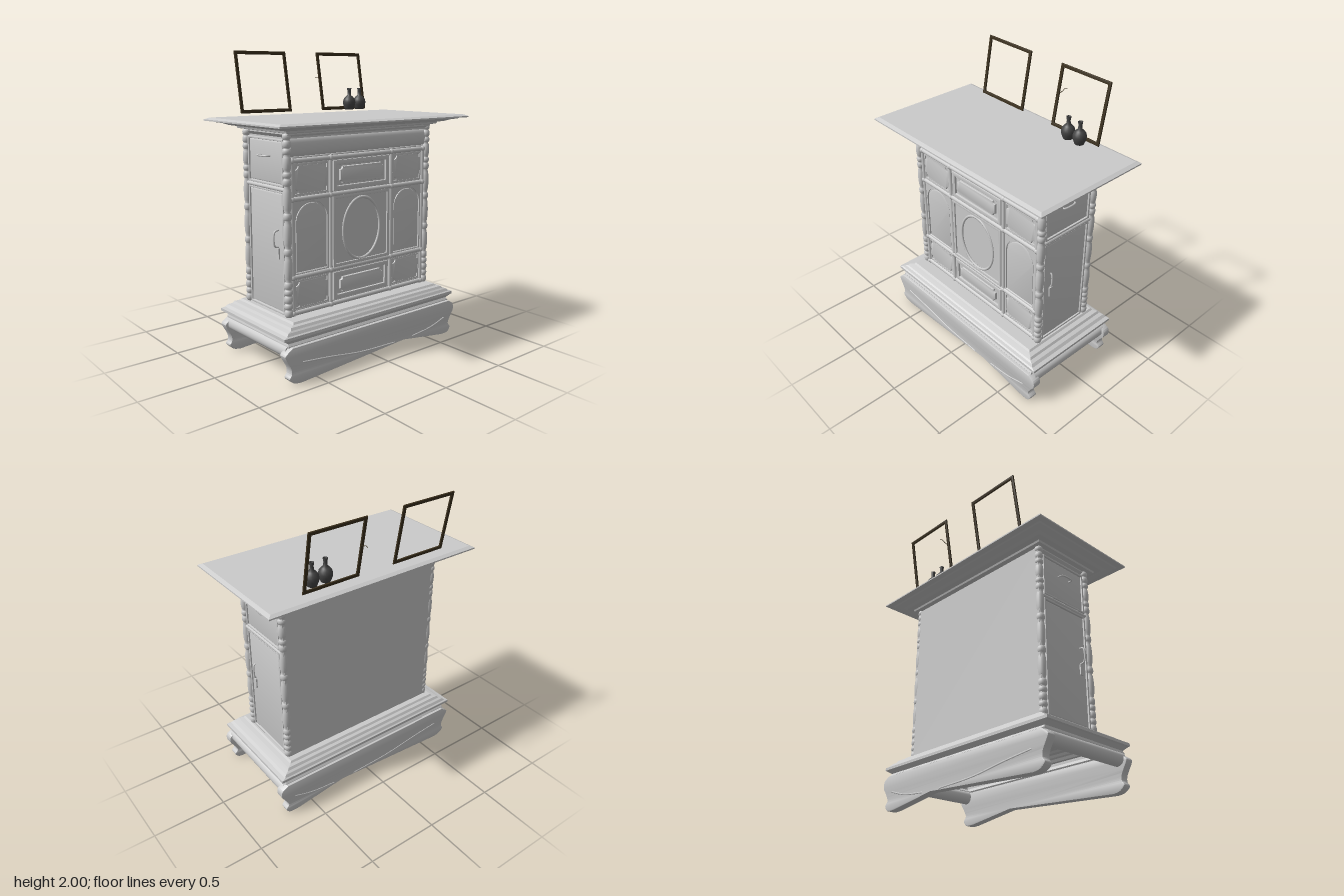
import * as THREE from 'three';
import { toCreasedNormals } from 'three/addons/utils/BufferGeometryUtils.js';

const grey = new THREE.MeshStandardMaterial({ color: 0xcccccc });
const shell = new THREE.MeshStandardMaterial({ color: 0xcccccc, side: THREE.DoubleSide });
const wood = new THREE.MeshStandardMaterial({ color: 0x3a2f1c });
const clay = new THREE.MeshStandardMaterial({ color: 0x444444, side: THREE.DoubleSide });

function add(parent, name, geo, x = 0, y = 0, z = 0, mat = grey) {
  const m = new THREE.Mesh(geo, mat);
  m.name = name;
  m.position.set(x, y, z);
  parent.add(m);
  return m;
}
const box = (w, h, d) => new THREE.BoxGeometry(w, h, d);

// Stacked rectangles [halfWidth, zFront, zBack, y], listed bottom to top, closed on top
function moulding(rings) {
  const pos = [];
  const c = rings.map(([h, f, b, y]) => [[-h, y, f], [h, y, f], [h, y, b], [-h, y, b]]);
  const quad = (p, q, r, s) => pos.push(...p, ...q, ...r, ...p, ...r, ...s);
  for (let i = 0; i < c.length - 1; i++)
    for (let k = 0; k < 4; k++) {
      const n = (k + 1) % 4;
      quad(c[i][k], c[i][n], c[i + 1][n], c[i + 1][k]);
    }
  quad(...c[c.length - 1]);
  const g = new THREE.BufferGeometry();
  g.setAttribute('position', new THREE.Float32BufferAttribute(pos, 3));
  g.computeVertexNormals();
  return g;
}

// Shapes centred on the origin
function rectShape(w, h) {
  const s = new THREE.Shape();
  s.moveTo(-w / 2, -h / 2).lineTo(w / 2, -h / 2).lineTo(w / 2, h / 2).lineTo(-w / 2, h / 2).closePath();
  return s;
}
function notchedShape(w, h, r) {
  const s = new THREE.Shape(), a = w / 2, b = h / 2, q = Math.PI / 2;
  s.moveTo(-a + r, -b).lineTo(a - r, -b);
  s.absarc(a, -b, r, Math.PI, q, true);
  s.lineTo(a, b - r).absarc(a, b, r, -q, -Math.PI, true);
  s.lineTo(-a + r, b).absarc(-a, b, r, 0, -q, true);
  s.lineTo(-a, -b + r).absarc(-a, -b, r, q, 0, true);
  return s;
}
function archShape(w, h) {
  const s = new THREE.Shape(), a = w / 2;
  s.moveTo(-a, -h / 2).lineTo(a, -h / 2).lineTo(a, h / 2 - a);
  s.absarc(0, h / 2 - a, a, 0, Math.PI, false);
  s.closePath();
  return s;
}
function frameShape(w, h, t) {
  const s = rectShape(w, h);
  s.holes.push(rectShape(w - 2 * t, h - 2 * t));
  return s;
}
const raised = (shape, depth, bevel) => toCreasedNormals(new THREE.ExtrudeGeometry(shape, {
  depth, bevelEnabled: bevel > 0, bevelThickness: bevel, bevelSize: bevel, bevelOffset: -bevel,
  bevelSegments: 2, curveSegments: 20 }), 0.5);

// Half-round bar lying in the facade
function bar(parent, name, len, r, x, y, z, upright) {
  const m = add(parent, name, new THREE.CylinderGeometry(r, r, len, 12), x, y, z);
  if (!upright) m.rotation.z = Math.PI / 2;
}
function tube(points, r, n = 24) {
  return new THREE.TubeGeometry(new THREE.CatmullRomCurve3(points.map(p => new THREE.Vector3(...p))), n, r, 6);
}

// Turned corner column: a run of beads and long swellings
function columnGeometry() {
  const runs = [.05, .04, .05, .04, .05, .16, .05, .17, .05, .16, .05, .04, .1, .04, .05, .04];
  const pts = [];
  let y = 0.37;
  for (const h of runs) {
    for (let i = 0; i < 8; i++)
      pts.push(new THREE.Vector2(0.018 + 0.009 * Math.pow(Math.sin(Math.PI * i / 8), 0.6), y + h * i / 8));
    y += h;
  }
  pts.push(new THREE.Vector2(0.018, y));
  return new THREE.LatheGeometry(pts, 16);
}

// Scroll-ended apron with feet
function apronGeometry() {
  const s = new THREE.Shape();
  s.moveTo(-0.69, 0.245);
  s.splineThru([[-.74, .21], [-.74, .185], [-.705, .12], [-.7, .08], [-.715, .05], [-.68, .018], [-.63, .008]]
    .map(p => new THREE.Vector2(...p)));
  s.lineTo(0.24, 0.062).lineTo(0.61, 0.008);
  s.splineThru([[.68, .01], [.71, .045], [.69, .08], [.715, .13], [.74, .17], [.735, .215], [.69, .245]]
    .map(p => new THREE.Vector2(...p)));
  return raised(s, 0.048, 0.006);
}

function buildFacade() {
  const g = new THREE.Group();
  g.name = 'facade';
  const z = 0.218;
  // Rails and stiles
  for (const y of [1.34, 1.105, 0.615, 0.385]) {
    bar(g, 'rail', 1.15, 0.016, 0, y, z + 0.008);
    for (const s of [-1, 1]) bar(g, 'railBead', 1.15, 0.007, 0, y + s * 0.019, z + 0.004);
  }
  for (const x of [-0.562, -0.262, 0.262, 0.562]) {
    bar(g, 'stile', 0.96, 0.014, x, 0.86, z + 0.008, true);
    for (const y of [1.34, 1.105, 0.615, 0.385])
      add(g, 'stileKnob', new THREE.SphereGeometry(0.021, 12, 8), x, y, z + 0.008);
  }
  // Swelling frieze
  const frieze = add(g, 'frieze', new THREE.CylinderGeometry(0.06, 0.06, 1.15, 24), 0, 1.42, z - 0.005);
  frieze.rotation.z = Math.PI / 2;
  frieze.scale.set(1, 1, 0.45);
  add(g, 'friezeCap', box(1.16, 0.03, 0.04), 0, 1.492, z + 0.005);
  // Small drawers, top and bottom rows
  for (const [y, h] of [[1.223, 0.185], [0.5, 0.175]]) {
    for (const s of [-1, 1]) {
      add(g, 'cornerPanelFrame', raised(frameShape(0.27, h + 0.01, 0.012), 0.008, 0.003), s * 0.413, y, z);
      add(g, 'cornerPanel', raised(notchedShape(0.25, h - 0.01, 0.028), 0.006, 0.005), s * 0.413, y, z);
    }
    add(g, 'drawerFrame', raised(frameShape(0.48, h + 0.01, 0.03), 0.012, 0.005), 0, y, z);
    add(g, 'drawerPanel', raised(notchedShape(0.37, h - 0.075, 0.02), 0.01, 0.008), 0, y, z);
  }
  // Arched side panels
  for (const s of [-1, 1]) {
    const outer = rectShape(0.272, 0.465);
    outer.holes.push(archShape(0.25, 0.45));
    add(g, 'archFrame', raised(outer, 0.012, 0), s * 0.413, 0.86, z);
    add(g, 'archPanel', raised(archShape(0.235, 0.43), 0.004, 0.004), s * 0.413, 0.858, z);
  }
  // Oval centre door
  add(g, 'doorFrame', raised(frameShape(0.49, 0.47, 0.022), 0.016, 0.004), 0, 0.86, z);
  const field = rectShape(0.45, 0.43);
  const hole = new THREE.Path();
  hole.absellipse(0, 0, 0.16, 0.205, 0, Math.PI * 2);
  field.holes.push(hole);
  add(g, 'doorField', raised(field, 0.01, 0), 0, 0.86, z);
  add(g, 'ovalMoulding', new THREE.TorusGeometry(0.16, 0.008, 8, 48), 0, 0.855, z + 0.01).scale.y = 1.29;
  return g;
}

// Side with drawer and door, built facing +z and turned outwards; reach is how far the handles stand out
function buildSide(s, reach) {
  const g = new THREE.Group();
  g.name = s > 0 ? 'leftSide' : 'rightSide';
  for (const [part, y, h] of [['drawer', 1.325, 0.27], ['door', 0.765, 0.76]]) {
    add(g, part + 'Frame', raised(frameShape(0.385, h + 0.02, 0.014), 0.018, 0.004), 0, y, 0);
    add(g, part + 'Panel', raised(rectShape(0.355, h - 0.012), 0.008, 0.008), 0, y, 0);
  }
  bar(g, 'sideRail', 0.41, 0.014, 0, 1.165, 0.012);
  add(g, 'drawerHandle', tube([[-0.05, 1.36, 0.015], [-0.045, 1.36, reach], [0.045, 1.36, reach], [0.05, 1.36, 0.015]], 0.006));
  const hx = -0.13 * s;
  add(g, 'doorHandle', tube([[hx, 0.8, 0.015], [hx, 0.81, reach], [hx, 0.9, reach], [hx, 0.91, 0.015]], 0.006));
  add(g, 'lockPlate', box(0.024, 0.07, 0.01), hx, 0.76, 0.02);
  g.position.set(s * 0.585, 0, 0.008);
  g.rotation.y = s * Math.PI / 2;
  return g;
}

function buildPictureFrame(x) {
  const g = new THREE.Group();
  g.name = 'pictureFrame';
  add(g, 'frame', raised(frameShape(0.405, 0.41, 0.022), 0.006, 0.003), 0, 0.205, -0.003, wood);
  g.position.set(x, 1.598, -0.33);
  g.rotation.x = -0.178;
  return g;
}

export function createModel() {
  const model = new THREE.Group();
  model.name = 'cabinet';

  // Cornice and top slab with sloped edge, each step inset by d
  const step = ([d, y]) => [0.79 - d, 0.44 - d, -0.41 + d, y];
  add(model, 'cornice', moulding([[.205, 1.48], [.185, 1.5], [.185, 1.508], [.155, 1.514], [.15, 1.526], [.115, 1.532],
    [.09, 1.542], [.05, 1.55], [.04, 1.556], [0, 1.558], [0, 1.567], [.025, 1.578]].map(step)));

  // Stepped plinth, hollow underneath
  add(model, 'plinth', moulding([[.7, .375, -.33, .24], [.7, .38, -.335, .25], [.695, .37, -.325, .265], [.725, .385, -.345, .285],
    [.736, .39, -.35, .29], [.736, .39, -.35, .308], [.71, .38, -.34, .314], [.695, .37, -.33, .33], [.67, .36, -.315, .338],
    [.66, .35, -.305, .352], [.63, .33, -.285, .358], [.62, .32, -.275, .37]]), -0.006, 0, 0, shell);

  // Aprons with feet, front and back, each with a carved ridge on its outer face
  for (const [z, face] of [[0.346, 0.399], [-0.344, -0.348]]) {
    add(model, 'apron', apronGeometry(), 0, 0, z);
    add(model, 'apronCarving', tube([[-.62, .14, face], [-.4, .115, face], [-.15, .08, face], [.15, .067, face]], 0.006));
    add(model, 'apronCarving', tube([[.32, .07, face], [.5, .09, face], [.64, .13, face]], 0.006));
  }
  // Swelling rails between the aprons
  for (const s of [-1, 1]) {
    const rail = add(model, 'sideRail', new THREE.CylinderGeometry(0.045, 0.045, 0.68, 20), s * 0.68, 0.207, 0.025);
    rail.rotation.x = Math.PI / 2 - 0.012;
  }

  // Carcass with a wider plain back
  add(model, 'carcass', box(1.17, 1.14, 0.43), 0, 0.93, 0.005);
  add(model, 'backPanel', box(1.21, 1.13, 0.02), 0, 0.93, -0.226);
  model.add(buildFacade(), buildSide(1, 0.026), buildSide(-1, 0.045));

  const column = columnGeometry();
  for (const x of [-0.594, 0.594])
    for (const z of [0.227, -0.215]) add(model, 'cornerColumn', column, x, 0, z);

  // Leaning frames and a small hanging wire
  model.add(buildPictureFrame(-0.357), buildPictureFrame(0.315));
  add(model, 'wire', tube([[.135, 1.815, -.37], [.135, 1.822, -.4], [.132, 1.828, -.415], [.135, 1.823, -.44]], 0.002, 12), 0, 0, 0, wood);

  // Vases
  const profile = [[0, 0], [.03, 0], [.034, .01], [.043, .033], [.045, .053], [.04, .073], [.027, .09], [.014, .1], [.012, .125], [.016, .15], [.012, .15], [.008, .13]];
  const vase = new THREE.LatheGeometry(profile.map(p => new THREE.Vector2(...p)), 24);
  for (const x of [0.313, 0.41]) add(model, 'vase', vase, x, 1.6, -0.27, clay);

  return model;
}
